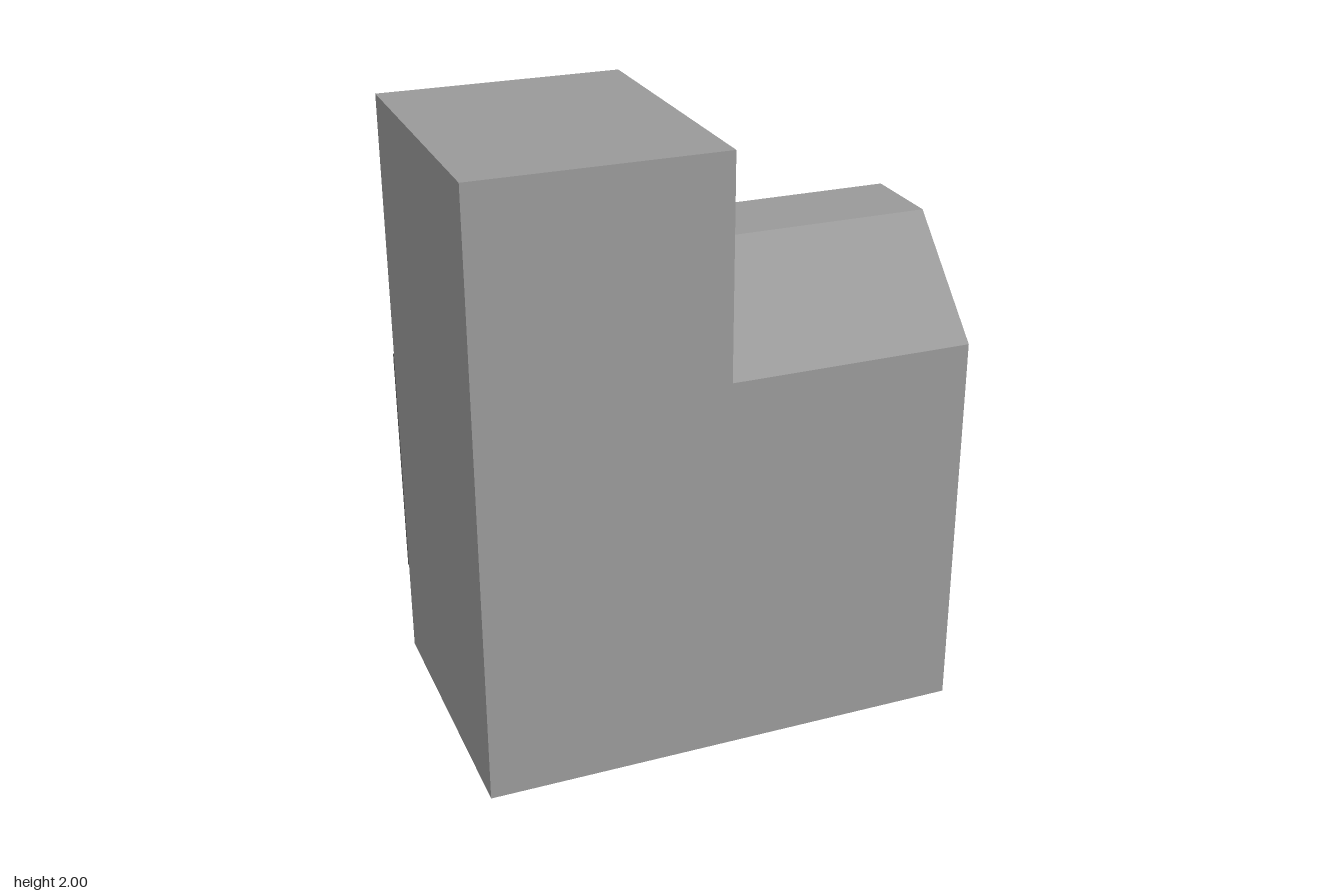
import * as THREE from 'three';

const BACK = -0.472, FRONT = 0.485, RECESS = 0.027;

export function createModel() {
  const group = new THREE.Group();
  const casing = new THREE.MeshStandardMaterial({ name: 'casing grey', color: 0x999999 });
  const panelGrey = new THREE.MeshStandardMaterial({ name: 'panel grey', color: 0x656565 });
  const screenBlack = new THREE.MeshStandardMaterial({ name: 'screen black', color: 0x2a2a2a });

  const add = (name, geometry, material) => {
    const mesh = new THREE.Mesh(geometry, material);
    mesh.name = name;
    group.add(mesh);
    return mesh;
  };
  // Box given by its lower and upper corners
  const box = (name, [x0, y0, z0], [x1, y1, z1], material) =>
    add(name, new THREE.BoxGeometry(x1 - x0, y1 - y0, z1 - z0), material)
      .position.set((x0 + x1) / 2, (y0 + y1) / 2, (z0 + z1) / 2);
  const outline = (points) => points.map(([x, y]) => new THREE.Vector2(x, y));
  const rect = (x0, y0, x1, y1) => outline([[x0, y0], [x1, y0], [x1, y1], [x0, y1]]);

  // Low half with chamfered top: side profile (z, y) extruded along x
  const profile = new THREE.Shape(outline([
    [-FRONT, 0], [-BACK, 0], [-BACK, 1.285], [0.135, 1.62], [-0.15, 1.62], [-FRONT, 1.285],
  ]));
  const low = new THREE.ExtrudeGeometry(profile, { depth: 0.8, bevelEnabled: false });
  low.rotateY(Math.PI / 2); // extrusion runs along +x, shape x becomes -z
  add('chamferedBody', low, casing);

  // Tall half, with a back wall pierced for the screen
  box('tower', [-0.8, 0, BACK + RECESS], [0, 2, FRONT], casing);
  const wall = new THREE.Shape(rect(-0.8, 0, 0, 2));
  wall.holes.push(new THREE.Path(rect(-0.725, 1.285, -0.078, 1.925)));
  const wallGeometry = new THREE.ExtrudeGeometry(wall, { depth: RECESS, bevelEnabled: false });
  add('screenSurround', wallGeometry, casing).position.z = BACK;

  // Recessed screen and the wide raised panel on the back
  box('screen', [-0.725, 1.285, BACK + RECESS - 0.004], [-0.078, 1.925, BACK + RECESS + 0.002], screenBlack);
  box('backPanel', [-0.8, 0.32, -0.485], [0.8, 1.12, BACK], panelGrey);

  return group;
}
